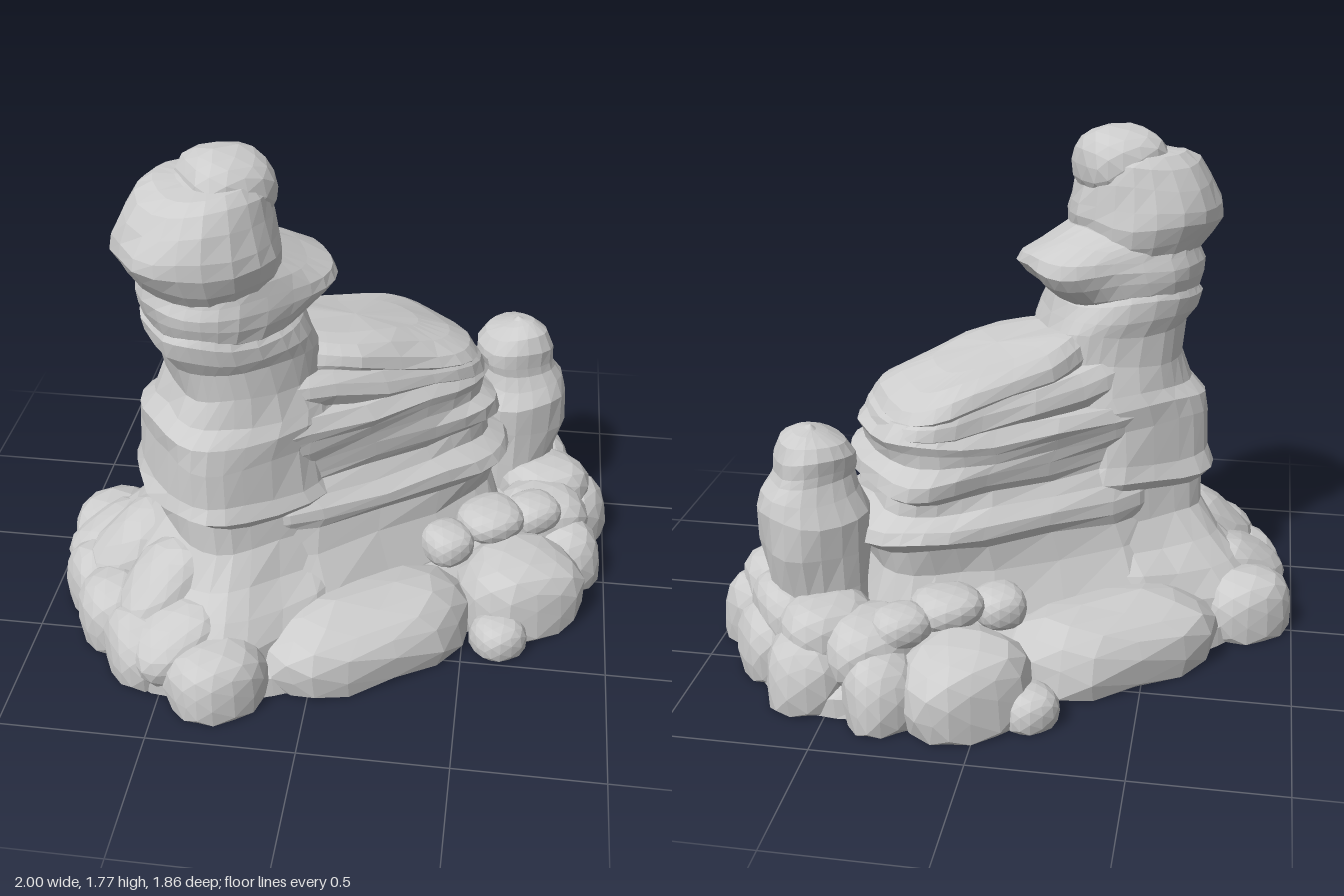
import * as THREE from 'three';

const stone = new THREE.MeshStandardMaterial({ color: 0xcccccc, flatShading: true });
stone.name = 'grey stone';

const spow = (v, p) => Math.sign(v) * Math.pow(Math.abs(v), p);

// smooth weathering, the same on both sides of the ridge plane (z = 0)
function weather(x, y, z, amount) {
  const a = Math.abs(z);
  return amount * (Math.sin(x * 17 + a * 11 + y * 5) + Math.sin(y * 23 - a * 19 + x * 7) * 0.7);
}

// Stacked rock layers. Each ring: [y, xMin, xMax, half width at xMin, half width at xMax]
function strata(name, rings, { sides = 28, power = 0.65, slope = 0, rough = 0.007 } = {}) {
  const pos = [], idx = [];
  for (const [y, x0, x1, h0, h1 = h0] of rings) {
    for (let i = 0; i < sides; i++) {
      const t = (i / sides) * Math.PI * 2;
      const c = spow(Math.cos(t), power), s = spow(Math.sin(t), power);
      const f = (c + 1) / 2;
      const x = x0 + (x1 - x0) * f, z = (h0 + (h1 - h0) * f) * s;
      const w = weather(x, y, z, rough);
      const lift = y > 0 ? -slope * x + weather(z, x * 0.6, y, rough * 1.3) : 0;
      pos.push(x + c * w, Math.max(0, y + lift), z + s * w);
    }
  }
  const n = rings.length;
  for (let r = 0; r < n - 1; r++) {
    for (let i = 0; i < sides; i++) {
      const j = (i + 1) % sides, a = r * sides + i, b = r * sides + j;
      idx.push(a, a + sides, b, b, a + sides, b + sides);
    }
  }
  // caps
  for (const r of [0, n - 1]) {
    const [y, x0, x1] = rings[r], m = pos.length / 3, x = (x0 + x1) / 2;
    pos.push(x, Math.max(0, y - (y > 0 ? slope * x : 0)) + (r ? 0.008 : 0), 0);
    for (let i = 0; i < sides; i++) {
      const a = r * sides + i, b = r * sides + (i + 1) % sides;
      if (r) idx.push(m, b, a); else idx.push(m, a, b);
    }
  }
  const g = new THREE.BufferGeometry();
  g.setAttribute('position', new THREE.Float32BufferAttribute(pos, 3));
  g.setIndex(idx);
  g.computeVertexNormals();
  const mesh = new THREE.Mesh(g, stone);
  mesh.name = name;
  return mesh;
}

// Worn boulder, flattened where it meets the ground
function boulder(name, x, y, z, rx, ry, rz, yaw = 0, tilt = 0) {
  const g = new THREE.IcosahedronGeometry(1, 2);
  const p = g.attributes.position;
  for (let i = 0; i < p.count; i++) {
    p.setXYZ(i, spow(p.getX(i), 0.8) * rx, spow(p.getY(i), 0.8) * ry, spow(p.getZ(i), 0.8) * rz);
  }
  g.rotateZ(tilt);
  g.rotateY(yaw);
  for (let i = 0; i < p.count; i++) {
    const px = p.getX(i), py = p.getY(i), pz = p.getZ(i);
    const k = 1 + weather(px + x, py + y, pz + z, 0.035);
    p.setXYZ(i, x + px * k, Math.max(0, y + py * k), z + pz * k);
  }
  g.computeVertexNormals();
  const mesh = new THREE.Mesh(g, stone);
  mesh.name = name;
  return mesh;
}

export function createModel() {
  const group = new THREE.Group();
  group.name = 'rockFormation';
  // local x runs along the ridge, from the tall tower to the small pillar
  const ridge = new THREE.Group();
  ridge.name = 'rocks';
  ridge.rotation.y = 0.61;
  group.add(ridge);

  // ground slab joining the stones
  ridge.add(strata('base', [
    [0, -0.95, 1.0, 0.61, 0.56], [0.06, -0.95, 1.0, 0.6, 0.55], [0.13, -0.88, 0.93, 0.52, 0.46], [0.2, -0.78, 0.84, 0.44, 0.38],
  ], { power: 0.68 }));

  // tall tower with flared foot and soft bulging layers
  ridge.add(strata('tower', [
    [0, -0.9, -0.02, 0.56, 0.46], [0.17, -0.86, -0.04, 0.54, 0.43], [0.25, -0.8, -0.05, 0.47, 0.39],
    [0.32, -0.74, -0.06, 0.39, 0.34], [0.43, -0.67, -0.08, 0.32, 0.29], [0.53, -0.68, -0.06, 0.31, 0.29],
    [0.57, -0.725, -0.04, 0.34, 0.305], [0.62, -0.7, -0.08, 0.32, 0.28], [0.76, -0.69, -0.09, 0.3, 0.27],
    [0.84, -0.69, -0.04, 0.3, 0.28], [0.89, -0.63, -0.05, 0.27, 0.255], [0.98, -0.6, -0.09, 0.25, 0.23],
    [1.08, -0.62, -0.11, 0.25, 0.225], [1.13, -0.655, -0.13, 0.265, 0.23], [1.19, -0.665, -0.15, 0.265, 0.22],
    [1.22, -0.65, -0.17, 0.25, 0.2],
  ], { power: 0.7 }));
  // blunt ledge jutting out above the ridge
  ridge.add(strata('ledge', [
    [1.17, -0.63, -0.2, 0.24, 0.19], [1.21, -0.66, -0.12, 0.26, 0.2], [1.26, -0.68, -0.065, 0.27, 0.21],
    [1.305, -0.69, -0.035, 0.275, 0.21], [1.345, -0.675, -0.045, 0.27, 0.195], [1.385, -0.655, -0.13, 0.255, 0.19],
    [1.42, -0.63, -0.22, 0.23, 0.18],
  ], { power: 0.76 }));
  ridge.add(strata('towerHead', [
    [1.34, -0.68, -0.26, 0.225], [1.4, -0.725, -0.235, 0.25], [1.46, -0.755, -0.225, 0.265], [1.51, -0.75, -0.235, 0.255],
    [1.58, -0.72, -0.25, 0.235], [1.64, -0.68, -0.27, 0.205], [1.675, -0.62, -0.31, 0.16], [1.69, -0.55, -0.37, 0.09],
  ], { power: 0.86, sides: 20 }));
  ridge.add(boulder('towerKnob', -0.385, 1.64, 0, 0.155, 0.125, 0.16));

  // layered ridge body
  ridge.add(strata('ridgeBody', [
    [0, -0.6, 0.66, 0.48, 0.38], [0.2, -0.6, 0.62, 0.45, 0.36], [0.36, -0.58, 0.57, 0.35, 0.31],
    [0.45, -0.56, 0.59, 0.31, 0.32], [0.49, -0.56, 0.635, 0.32, 0.35], [0.53, -0.56, 0.615, 0.32, 0.34],
    [0.57, -0.56, 0.55, 0.29, 0.29], [0.62, -0.56, 0.54, 0.24, 0.29], [0.65, -0.56, 0.585, 0.23, 0.32],
    [0.7, -0.56, 0.575, 0.24, 0.32], [0.74, -0.56, 0.525, 0.28, 0.285], [0.78, -0.56, 0.53, 0.29, 0.285],
    [0.81, -0.56, 0.545, 0.3, 0.29], [0.86, -0.56, 0.5, 0.27, 0.26],
  ], { power: 0.58 }));
  // sloping cap slabs
  ridge.add(strata('lowerCapSlab', [
    [0.85, -0.4, 0.49, 0.24, 0.25], [0.89, -0.4, 0.525, 0.26, 0.275], [0.93, -0.4, 0.51, 0.255, 0.265], [0.96, -0.38, 0.47, 0.23, 0.25],
  ], { power: 0.58, slope: 0.15 }));
  ridge.add(strata('upperCapSlab', [
    [0.93, -0.24, 0.47, 0.21, 0.24], [0.97, -0.24, 0.495, 0.23, 0.26], [1.01, -0.22, 0.47, 0.22, 0.24],
    [1.045, -0.19, 0.4, 0.18, 0.2], [1.06, -0.15, 0.3, 0.12, 0.14],
  ], { power: 0.58, slope: 0.2 }));

  // small pillar
  ridge.add(strata('smallPillar', [
    [0.1, 0.58, 0.93, 0.19], [0.32, 0.59, 0.92, 0.18], [0.46, 0.58, 0.94, 0.19], [0.58, 0.58, 0.94, 0.19],
    [0.64, 0.61, 0.92, 0.165], [0.69, 0.625, 0.89, 0.14], [0.72, 0.62, 0.88, 0.135], [0.77, 0.62, 0.88, 0.135],
    [0.82, 0.64, 0.86, 0.115], [0.85, 0.69, 0.82, 0.065], [0.86, 0.73, 0.78, 0.03],
  ], { power: 0.88, sides: 18 }));

  // stones on the ridge plane
  ridge.add(boulder('rearStone', 0.92, 0.07, 0, 0.12, 0.18, 0.15));
  ridge.add(boulder('rearUpperStone', 0.86, 0.22, 0, 0.12, 0.12, 0.17));
  ridge.add(boulder('footStone', -0.87, 0.08, 0, 0.13, 0.18, 0.15));

  // stones mirrored on both sides: x, y, z, radii, yaw, tilt
  const stones = [
    ['longBoulder', -0.13, 0.07, 0.475, 0.41, 0.18, 0.22, 0, 0],
    ['largeBoulder', 0.45, 0.08, 0.55, 0.235, 0.2, 0.19, -0.2, 0],
    ['pebble', 0.28, 0.045, 0.68, 0.095, 0.085, 0.095, 0, 0],
    ['sideBoulder', 0.7, 0.07, 0.46, 0.13, 0.17, 0.13, 0, 0],
    ['sideUpperBoulder', 0.69, 0.19, 0.33, 0.16, 0.13, 0.15, 0, 0],
    ['perchedStoneA', 0.25, 0.26, 0.38, 0.09, 0.075, 0.1, 0, 0],
    ['perchedStoneB', 0.43, 0.3, 0.37, 0.12, 0.065, 0.11, 0, 0],
    ['perchedStoneC', 0.61, 0.28, 0.39, 0.1, 0.07, 0.09, 0, 0],
    ['rearBoulder', 0.87, 0.07, 0.23, 0.14, 0.18, 0.15, 0.4, 0],
    ['rearUpperBoulder', 0.79, 0.21, 0.19, 0.16, 0.13, 0.16, 0, 0],
    ['cornerBoulder', -0.69, 0.07, 0.455, 0.175, 0.16, 0.15, 0, 0],
    ['footBoulder', -0.85, 0.07, 0.19, 0.13, 0.16, 0.16, 0, 0],
    ['footSlab', -0.76, 0.16, 0.3, 0.17, 0.11, 0.14, 0, 0.5],
    ['buttress', -0.73, 0.24, 0.13, 0.21, 0.12, 0.14, 0, 0.8],
  ];
  for (const [name, x, y, z, rx, ry, rz, yaw, tilt] of stones) {
    ridge.add(boulder(name + 'Left', x, y, z, rx, ry, rz, yaw, tilt));
    ridge.add(boulder(name + 'Right', x, y, -z, rx, ry, rz, -yaw, tilt));
  }
  return group;
}
